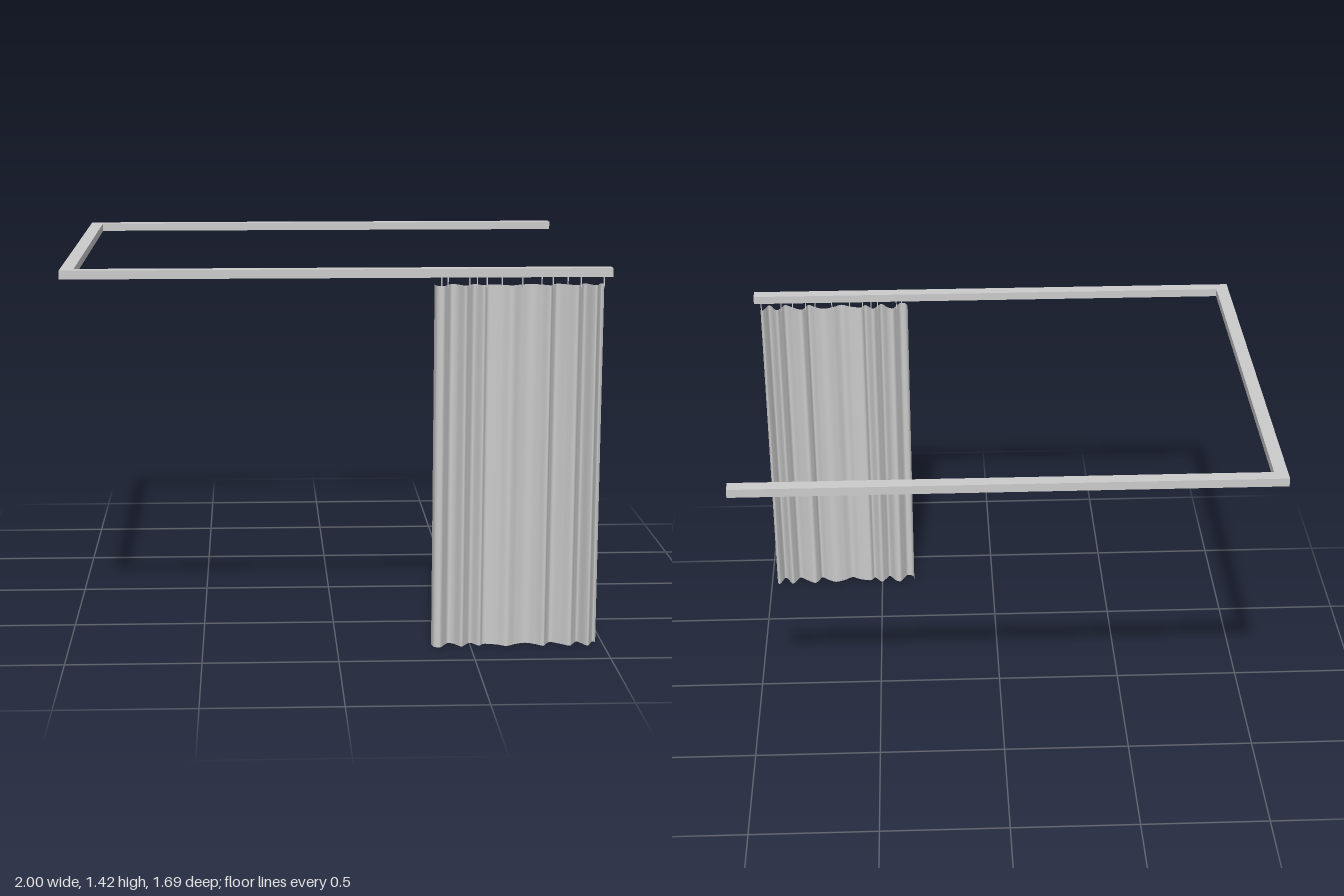
import * as THREE from 'three';

const material = new THREE.MeshStandardMaterial({ color: 0xcccccc, side: THREE.DoubleSide });

export function createModel() {
  const model = new THREE.Group();
  model.name = 'curtainRail';

  // U-shaped ceiling rail, open towards +x
  const plan = new THREE.Shape([
    [-1, -0.84], [1, -0.84], [1, -0.79], [-0.95, -0.79],
    [-0.95, 0.795], [1, 0.795], [1, 0.845], [-1, 0.845],
  ].map(([x, y]) => new THREE.Vector2(x, y)));
  const railGeometry = new THREE.ExtrudeGeometry(plan, { depth: 0.032, bevelEnabled: false });
  railGeometry.rotateX(-Math.PI / 2);
  const rail = new THREE.Mesh(railGeometry, material);
  rail.name = 'rail';
  rail.position.y = 1.39;
  model.add(rail);

  // Pleat path of the cloth in plan (x, z): tight at the ends, wide in the middle
  const path = new THREE.SplineCurve([
    [0.355, 0.8], [0.362, 0.834], [0.385, 0.842], [0.402, 0.815], [0.418, 0.79],
    [0.44, 0.8], [0.465, 0.836], [0.482, 0.815], [0.503, 0.79], [0.533, 0.826],
    [0.553, 0.804], [0.6, 0.815], [0.635, 0.834], [0.67, 0.812], [0.71, 0.797],
    [0.745, 0.815], [0.773, 0.838], [0.786, 0.815], [0.805, 0.792], [0.84, 0.815],
    [0.872, 0.84], [0.888, 0.815], [0.907, 0.79], [0.93, 0.83], [0.943, 0.84],
    [0.955, 0.81], [0.966, 0.79], [0.975, 0.8],
  ].map(([x, z]) => new THREE.Vector2(x, z)));

  // Hanging cloth: a plane whose columns follow the pleat path
  const columns = 160, height = 1.36;
  const clothGeometry = new THREE.PlaneGeometry(1, height, columns, 1);
  const position = clothGeometry.attributes.position;
  for (let i = 0; i < position.count; i++) {
    const p = path.getPoint((i % (columns + 1)) / columns);
    position.setXYZ(i, p.x, position.getY(i) + height / 2, p.y);
  }
  clothGeometry.computeVertexNormals();
  const curtain = new THREE.Mesh(clothGeometry, material);
  curtain.name = 'curtain';
  model.add(curtain);

  // Small gliders joining the cloth to the rail
  const gliders = new THREE.Group();
  gliders.name = 'gliders';
  const gliderGeometry = new THREE.BoxGeometry(0.004, 0.045, 0.006);
  for (const x of [0.38, 0.403, 0.482, 0.51, 0.545, 0.6, 0.675, 0.745, 0.786, 0.84, 0.888, 0.972]) {
    const glider = new THREE.Mesh(gliderGeometry, material);
    glider.name = 'glider';
    glider.position.set(x, 1.372, 0.812);
    gliders.add(glider);
  }
  model.add(gliders);

  return model;
}
